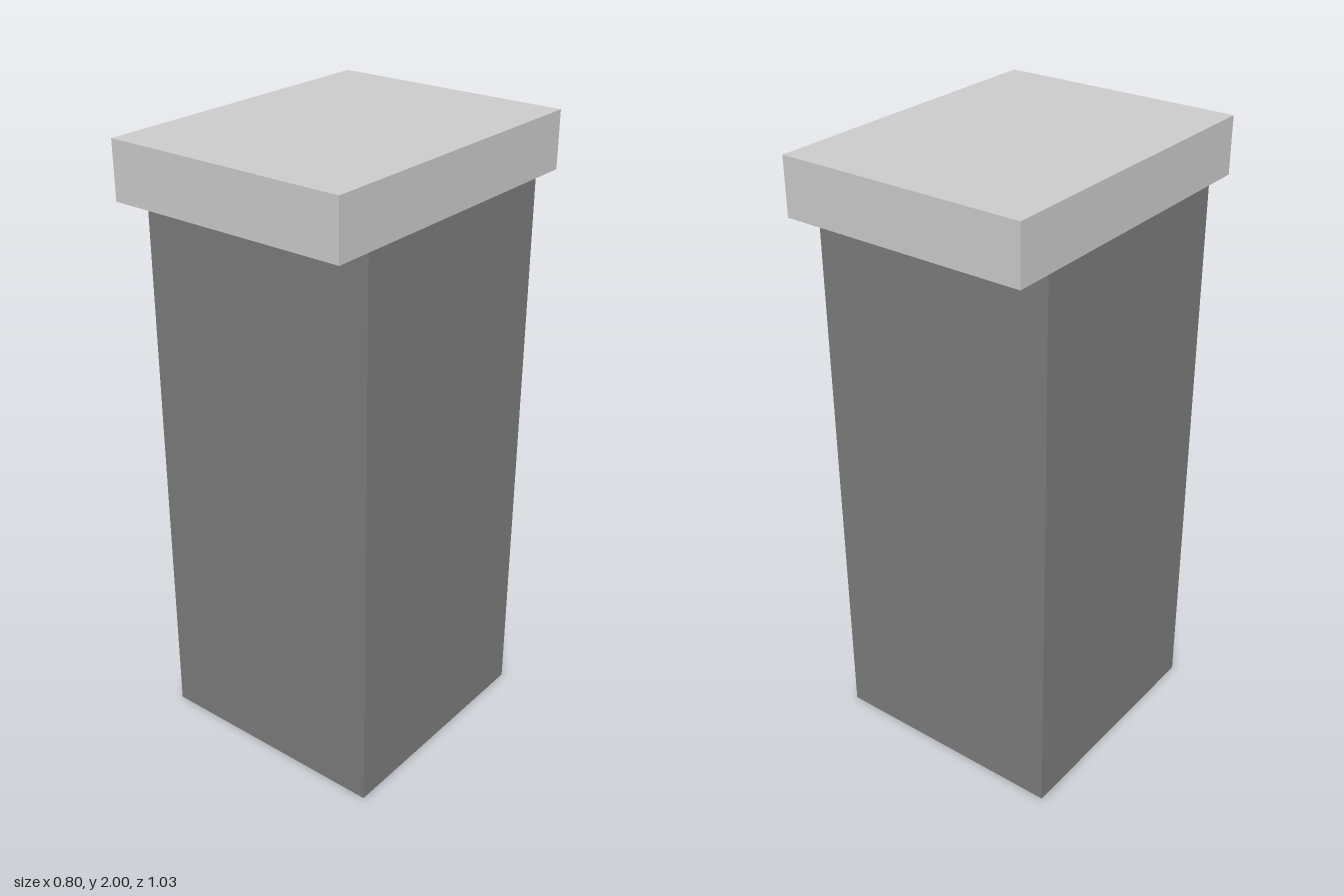
import * as THREE from 'three';

// Box standing on height y
function block(name, width, height, depth, y, color) {
  const mesh = new THREE.Mesh(
    new THREE.BoxGeometry(width, height, depth),
    new THREE.MeshStandardMaterial({ color })
  );
  mesh.name = name;
  mesh.position.y = y + height / 2;
  return mesh;
}

export function createModel() {
  const group = new THREE.Group();
  group.name = 'pillar';
  const width = 0.8, capHeight = 0.18, shaftHeight = 2 - capHeight;

  // Dark square shaft
  group.add(block('shaft', width, shaftHeight, width, 0, 0x7c7c7c));

  // Light cap slab, flush at the sides and overhanging front and back
  group.add(block('cap', width, capHeight, 1.035, shaftHeight, 0xcccccc));

  return group;
}
